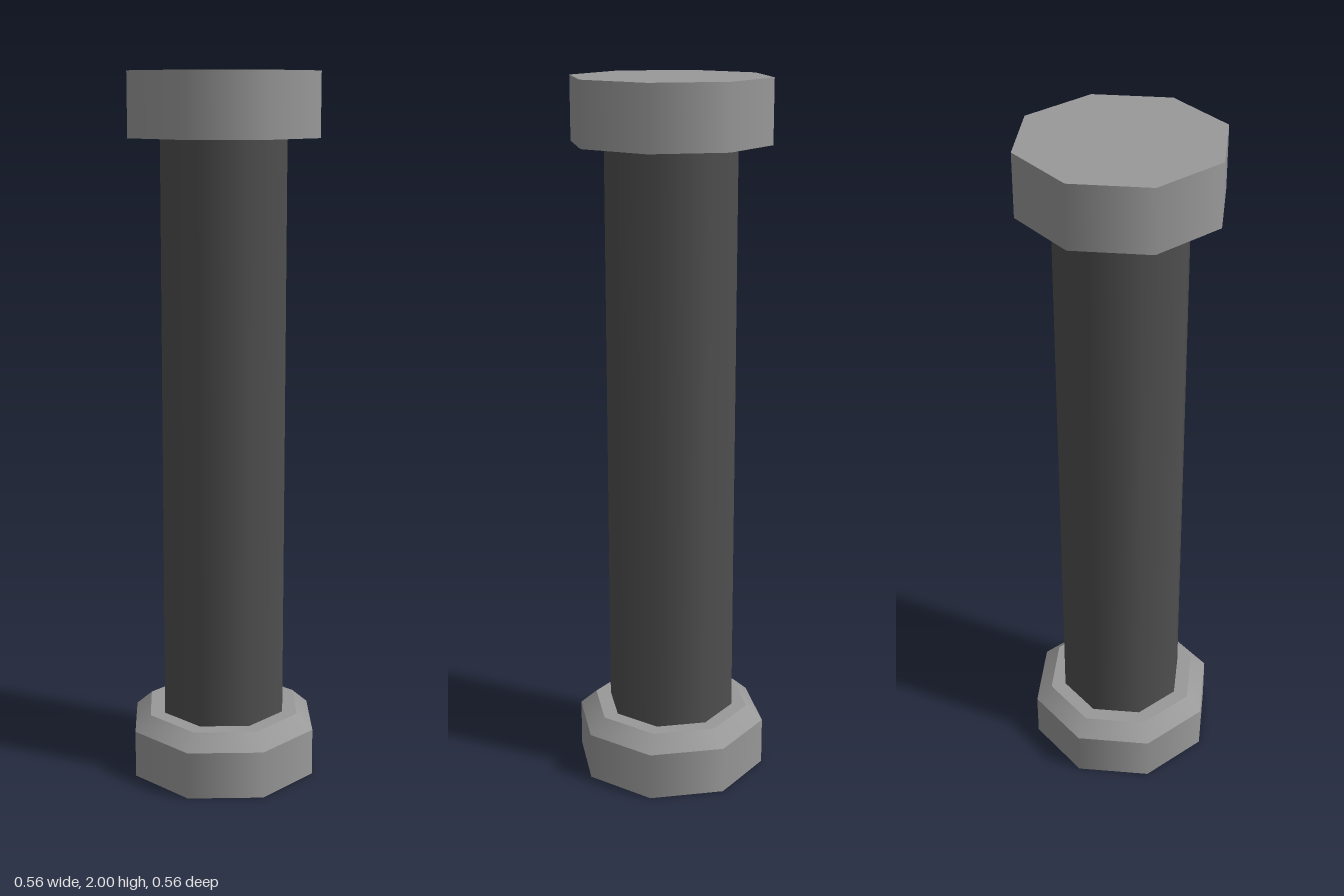
import * as THREE from 'three';

const SIDES = 8;

export function createModel() {
  const model = new THREE.Group();
  model.name = 'pillar';

  const lightGrey = new THREE.MeshStandardMaterial({ color: 0x999999 });
  lightGrey.name = 'light grey';
  const darkGrey = new THREE.MeshStandardMaterial({ color: 0x4f4f4f });
  darkGrey.name = 'dark grey';

  // Octagonal section between two heights
  function addSection(name, material, rBottom, rTop, y0, y1, open = false) {
    const geometry = new THREE.CylinderGeometry(rTop, rBottom, y1 - y0, SIDES, 1, open);
    const mesh = new THREE.Mesh(geometry, material);
    mesh.name = name;
    mesh.position.y = (y0 + y1) / 2;
    model.add(mesh);
  }

  // Base block with its bevelled shoulder
  addSection('base', lightGrey, 0.278, 0.278, 0, 0.137);
  addSection('baseBevel', lightGrey, 0.278, 0.23, 0.137, 0.18);

  // Column between the two blocks
  addSection('shaft', darkGrey, 0.185, 0.185, 0.18, 1.825, true);

  // Flat block on top
  addSection('capital', lightGrey, 0.278, 0.278, 1.825, 2);

  return model;
}
